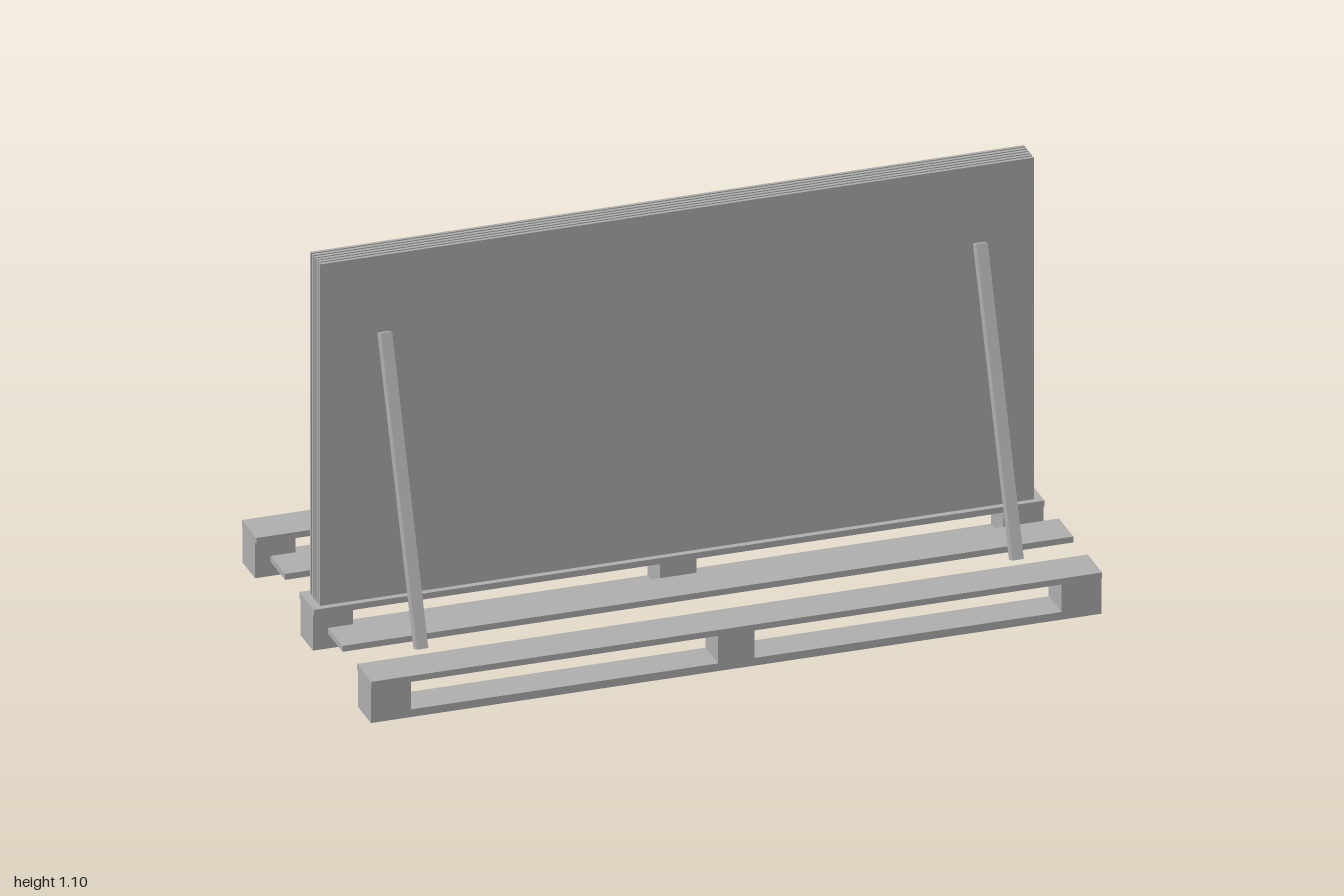
import * as THREE from 'three';

export function createModel() {
  const model = new THREE.Group();
  model.name = 'palletWithSheets';
  const grey = new THREE.MeshStandardMaterial({ color: 0xb0b0b0 });
  grey.name = 'grey';

  const box = (name, w, h, d, x, y, z, parent = model) => {
    const mesh = new THREE.Mesh(new THREE.BoxGeometry(w, h, d), grey);
    mesh.name = name;
    mesh.position.set(x, y, z);
    parent.add(mesh);
    return mesh;
  };

  // Three runners: bottom board and three blocks each
  const bottomTop = 0.022, plankBottom = 0.103, deckTop = 0.12;
  for (const z of [-0.458, 0, 0.458]) {
    const runner = new THREE.Group();
    runner.name = 'runner';
    model.add(runner);
    box('bottomBoard', 2, bottomTop, 0.1, 0, bottomTop / 2, z, runner);
    for (const x of [-0.945, 0, 0.945]) {
      const w = x === 0 ? 0.1 : 0.11;
      box('block', w, plankBottom - bottomTop, 0.1, x, (plankBottom + bottomTop) / 2, z, runner);
    }
  }

  // Five deck planks
  for (let i = -2; i <= 2; i++) {
    box('deckPlank', 2, deckTop - plankBottom, 0.114, 0, (deckTop + plankBottom) / 2, i * 0.2275);
  }

  // Six thin upright sheets with narrow gaps
  const sheets = new THREE.Group();
  sheets.name = 'sheetStack';
  model.add(sheets);
  for (let i = 0; i < 6; i++) {
    box('sheet', 1.954, 0.98, 0.0088, 0, deckTop + 0.49, (i - 2.5) * 0.0142, sheets);
  }

  // Four leaning struts, two on each side
  for (const side of [-1, 1]) {
    for (const x of [-0.815, 0.815]) {
      const strut = box('strut', 0.031, 0.829, 0.03, x, 0.511, side * 0.226);
      strut.rotation.x = -side * THREE.MathUtils.degToRad(20.2);
    }
  }

  return model;
}
